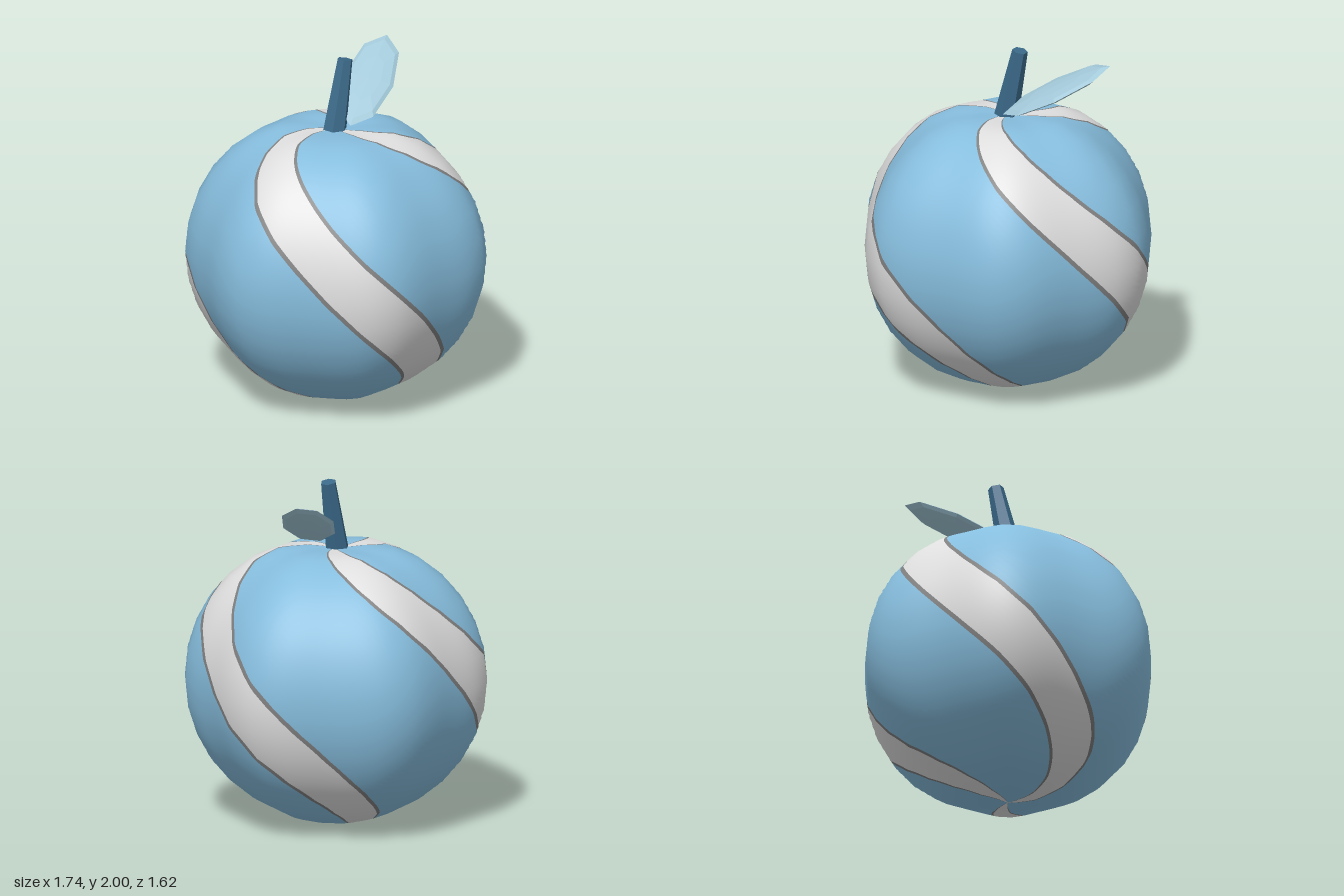
import * as THREE from 'three';

const mat = (name, color) => Object.assign(new THREE.MeshStandardMaterial({ color }), { name });
const SIDES = 28, RINGS = 16, DEG = Math.PI / 180;

// Six-lobed squashed ball with a flattened crown; theta runs around, phi runs down from the top.
function smoothPoint(theta, phi) {
  const r = (0.84 + 0.03 * Math.cos(6 * theta)) * Math.sin(phi);
  const dip = phi < Math.PI / 2 ? 0.077 * Math.exp(-12.4 * r * r) : 0;
  return new THREE.Vector3(r * Math.cos(theta), 0.838 + 0.833 * Math.cos(phi) - dip, r * Math.sin(theta));
}

// The same ball reduced to a coarse 28 x 16 grid of facets.
function facetPoint(theta, phi) {
  const u = theta / (2 * Math.PI) * SIDES, v = phi / Math.PI * RINGS;
  const i = Math.floor(u), j = Math.min(Math.floor(v), RINGS - 1);
  const at = (a, b) => smoothPoint(a / SIDES * 2 * Math.PI, b / RINGS * Math.PI);
  const upper = at(i, j).lerp(at(i + 1, j), u - i);
  const lower = at(i, j + 1).lerp(at(i + 1, j + 1), u - i);
  return upper.lerp(lower, v - j);
}

function smoothNormal(theta, phi) {
  const p = Math.min(Math.max(phi, 0.02), Math.PI - 0.02), e = 0.005;
  const dt = smoothPoint(theta + e, p).sub(smoothPoint(theta - e, p));
  const dp = smoothPoint(theta, p + e).sub(smoothPoint(theta, p - e));
  return dt.cross(dp).normalize();
}

// Spiral band between two angles (degrees), repeated three times around the fruit.
function spiralBands(ranges) {
  const pos = [], nor = [], idx = [], rows = 96;
  for (const [from, to] of ranges) {
    const cols = Math.max(1, Math.round((to - from) / 3.5));
    for (let k = 0; k < 3; k++) {
      const base = pos.length / 3;
      for (let i = 0; i <= rows; i++) {
        const phi = i / rows * Math.PI;
        for (let j = 0; j <= cols; j++) {
          const theta = (from + (to - from) * j / cols + 120 * k) * DEG - phi;
          pos.push(...facetPoint(theta, phi).toArray());
          nor.push(...smoothNormal(theta, phi).toArray());
          if (i < rows && j < cols) {
            const a = base + i * (cols + 1) + j, b = a + cols + 1;
            idx.push(a, a + 1, b, a + 1, b + 1, b);
          }
        }
      }
    }
  }
  const g = new THREE.BufferGeometry();
  g.setAttribute('position', new THREE.Float32BufferAttribute(pos, 3));
  g.setAttribute('normal', new THREE.Float32BufferAttribute(nor, 3));
  g.setIndex(idx);
  return g;
}

export function createModel() {
  const model = new THREE.Group();
  model.name = 'stripedFruit';
  const add = (name, geometry, material) => {
    const m = new THREE.Mesh(geometry, material);
    m.name = name;
    model.add(m);
    return m;
  };

  // Body: blue skin, pale spiral stripes and their grey borders
  add('skin', spiralBands([[235, 321]]), mat('skinBlue', 0x86bddd));
  add('stripes', spiralBands([[203.5, 232.5]]), mat('stripeWhite', 0xdedede));
  add('stripeBorders', spiralBands([[201, 203.5], [232.5, 235]]), mat('borderGrey', 0x808080));

  // Stem: leaning six-sided taper
  const stemMat = mat('stemBlue', 0x3b6a8a);
  const stem = add('stem', new THREE.CylinderGeometry(0.045, 0.07, 0.42, 6).toNonIndexed(), stemMat);
  stem.geometry.computeVertexNormals();
  stem.position.set(0.034, 1.787, 0);
  stem.rotation.z = -0.22;

  // Leaf: flattened, faceted ellipsoid set along its own axes
  const along = new THREE.Vector3(0.29, 0.165, -0.11).normalize();
  const across = new THREE.Vector3(-0.06, 0.026, -0.13).normalize();
  const up = along.clone().cross(across).normalize();
  across.crossVectors(up, along);
  const leafGeo = new THREE.SphereGeometry(1, 8, 6).scale(0.351, 0.028, 0.146).toNonIndexed();
  leafGeo.applyMatrix4(new THREE.Matrix4().makeBasis(along, up, across.negate()));
  leafGeo.computeVertexNormals();
  add('leaf', leafGeo, mat('leafPale', 0xa3c9d9)).position.set(0.31, 1.79, -0.02);

  return model;
}
